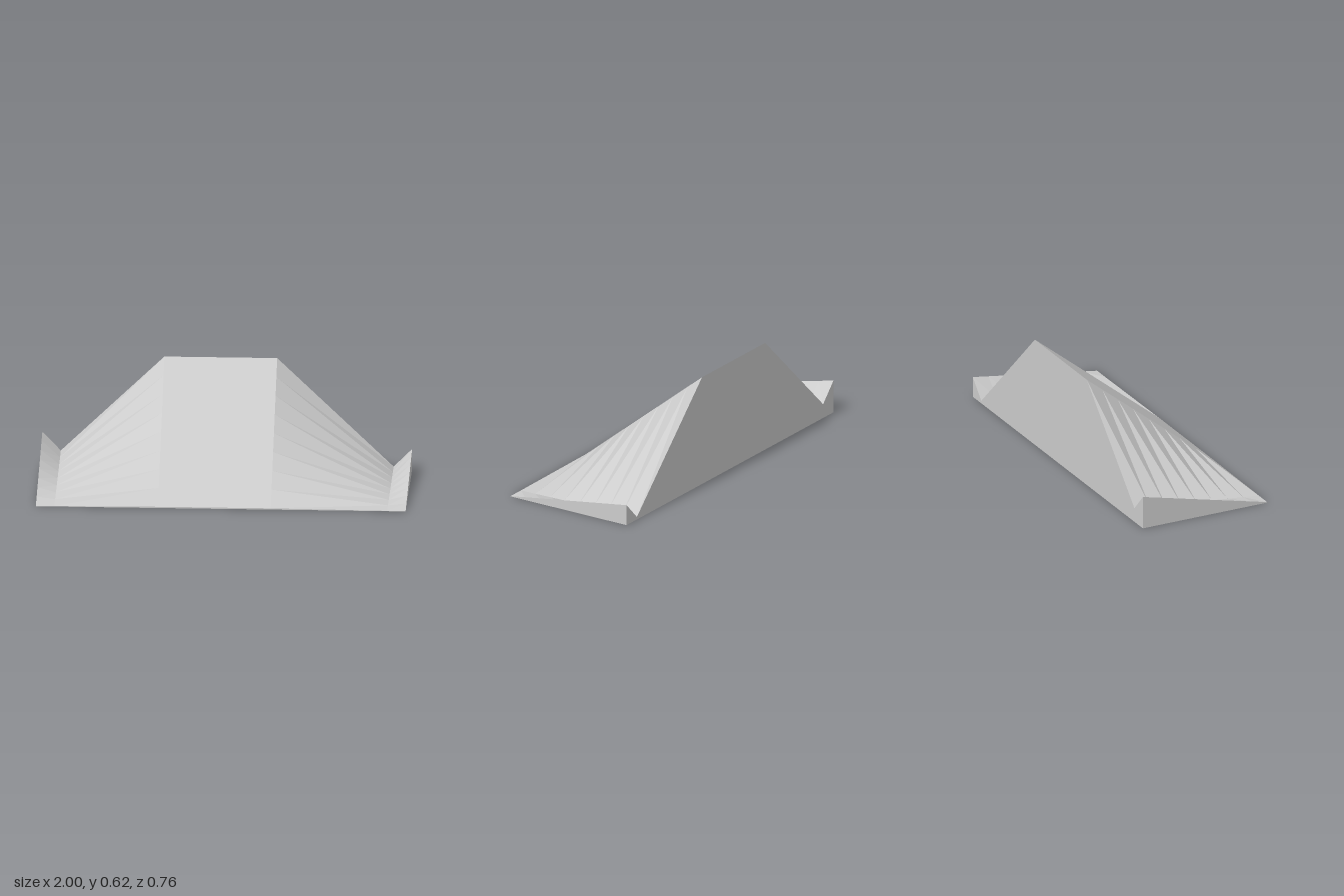
import * as THREE from 'three';

const DEPTH = 0.378; // half depth
const ROWS = 8;

// Cross-section corners: x, height at the front, height at the back
const profile = [
  [-1, 0, 0],
  [-1, 0.003, 0.185],
  [-0.9, 0.003, 0.08],
  [-0.34, 0.007, 0.62],
  [0.27, 0.007, 0.62],
  [0.9, 0.002, 0.015],
  [1, 0.002, 0.116],
  [1, 0, 0],
];
const names = ['rightWall', 'rightLip', 'rightSlope', 'ramp', 'leftSlope', 'leftLip', 'leftWall', 'base'];

const point = ([x, front, back], row) => {
  const t = row / ROWS;
  return [x, front + (back - front) * t, DEPTH * (1 - 2 * t)];
};

// Faceted strip between two corners, running from front to back
function strip(a, b) {
  const pos = [];
  for (let i = 0; i < ROWS; i++) {
    const a0 = point(a, i), b0 = point(b, i);
    const a1 = point(a, i + 1), b1 = point(b, i + 1);
    pos.push(...a0, ...b0, ...b1, ...a0, ...b1, ...a1);
  }
  const g = new THREE.BufferGeometry();
  g.setAttribute('position', new THREE.Float32BufferAttribute(pos, 3));
  g.computeVertexNormals();
  return g;
}

// Flat end wall; side is 1 for the front and -1 for the back
function endWall(side) {
  const corners = profile.map(([x, f, b]) => new THREE.Vector2(x * side, side > 0 ? f : b));
  const g = new THREE.ShapeGeometry(new THREE.Shape(corners));
  if (side < 0) g.rotateY(Math.PI);
  return g.translate(0, 0, side * DEPTH);
}

export function createModel() {
  const group = new THREE.Group();
  const grey = new THREE.MeshStandardMaterial({ color: 0xcccccc });
  grey.name = 'light grey';
  const add = (name, geometry) => {
    const mesh = new THREE.Mesh(geometry, grey);
    mesh.name = name;
    group.add(mesh);
  };

  // Ramp, side slopes, lips, walls and base
  names.forEach((name, i) => add(name, strip(profile[i], profile[(i + 1) % profile.length])));

  // Low front edge and tall back wall
  add('frontEdge', endWall(1));
  add('backWall', endWall(-1));
  return group;
}
